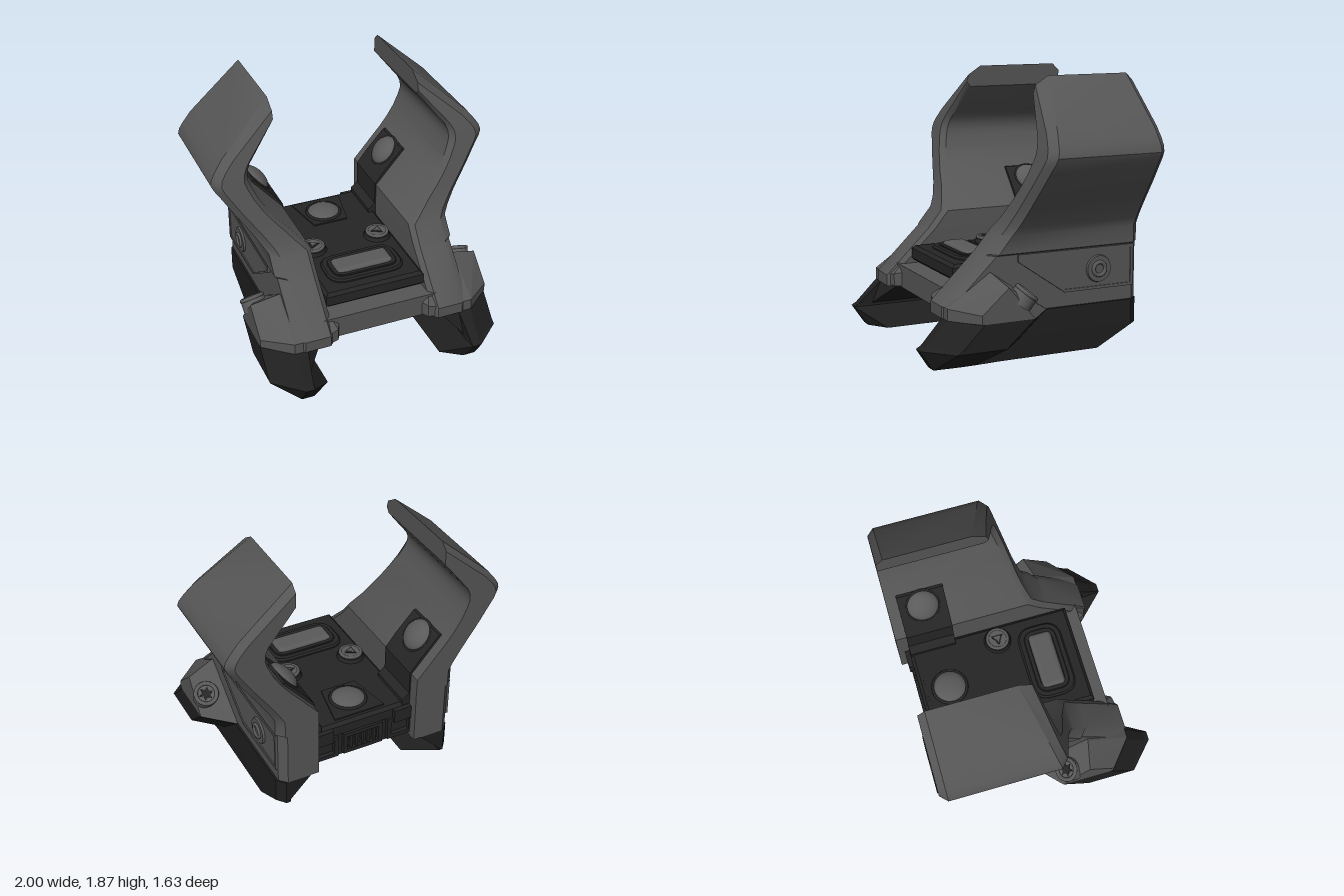
import * as THREE from 'three';
import { toCreasedNormals } from 'three/addons/utils/BufferGeometryUtils.js';
import { RoundedBoxGeometry } from 'three/addons/geometries/RoundedBoxGeometry.js';
import { ConvexGeometry } from 'three/addons/geometries/ConvexGeometry.js';

const mat = (name, color) => new THREE.MeshStandardMaterial({ name, color });
const V = (x, y, z) => new THREE.Vector3(x, y, z);

// Joins rings of [x, y, z] (counterclockwise seen along the loft) and closes both ends
function loft(rings, crease = 0.7) {
  const n = rings[0].length, pos = rings.flat(2), idx = [];
  rings.slice(1).forEach((_, i) => {
    for (let j = 0; j < n; j++) {
      const a = i * n + j, b = i * n + (j + 1) % n;
      idx.push(a, b, b + n, a, b + n, a + n);
    }
  });
  [0, rings.length - 1].forEach((r, end) => {
    const c = pos.length / 3;
    for (let k = 0; k < 3; k++) pos.push(rings[r].reduce((s, p) => s + p[k], 0) / n);
    for (let j = 0; j < n; j++) {
      const a = r * n + j, b = r * n + (j + 1) % n;
      end ? idx.push(a, b, c) : idx.push(b, a, c);
    }
  });
  const g = new THREE.BufferGeometry();
  g.setAttribute('position', new THREE.Float32BufferAttribute(pos, 3));
  g.setIndex(idx);
  return toCreasedNormals(g, crease);
}

// Mirrors a geometry across x = 0, keeping faces outward
function mirrored(geo) {
  const g = geo.index ? geo.toNonIndexed() : geo.clone();
  for (const key of ['position', 'normal']) {
    const at = g.attributes[key];
    for (let i = 0; i < at.count; i += 3) {
      const v = [0, 2, 1].map(k => V().fromBufferAttribute(at, i + k));
      v.forEach((p, k) => at.setXYZ(i + k, -p.x, p.y, p.z));
    }
  }
  return g;
}

const poly = pts => new THREE.Shape(pts.map(p => new THREE.Vector2(...p)));
const extrude = (shape, depth, bevel = 0) => new THREE.ExtrudeGeometry(shape, {
  depth, bevelEnabled: bevel > 0, bevelSize: bevel, bevelThickness: bevel, bevelSegments: 1, curveSegments: 8 });

// Rounded rectangle lying flat, its base at height y
function pad(w, d, r, h, y, z, bevel, hole) {
  const path = (s, a, b, q) => s.moveTo(-a + q, -b).lineTo(a - q, -b).quadraticCurveTo(a, -b, a, -b + q)
    .lineTo(a, b - q).quadraticCurveTo(a, b, a - q, b).lineTo(-a + q, b).quadraticCurveTo(-a, b, -a, b - q)
    .lineTo(-a, -b + q).quadraticCurveTo(-a, -b, -a + q, -b);
  const s = path(new THREE.Shape(), w / 2, d / 2, r);
  if (hole) s.holes.push(path(new THREE.Path(), w / 2 - hole, d / 2 - hole, r - hole / 2));
  return extrude(s, h, bevel).rotateX(-Math.PI / 2).translate(0, y, z);
}

// Turns a y-up geometry toward a direction and moves it into place
const aim = (g, dir, at) => g.applyQuaternion(new THREE.Quaternion()
  .setFromUnitVectors(V(0, 1, 0), dir.clone().normalize())).translate(at.x, at.y, at.z);

const dome = (r, h) => new THREE.SphereGeometry(r, 28, 10, 0, Math.PI * 2, 0, Math.PI / 2).scale(1, h / r, 1);
const ringGeo = (r, t) => new THREE.TorusGeometry(r, t, 8, 28).rotateX(Math.PI / 2);
const box = (w, h, d, x, y, z) => new THREE.BoxGeometry(w, h, d).translate(x, y, z);

// Front edge of the arms: z for a given height
const EDGE = [[0.32, 0.63], [0.4, 0.63], [0.78, 0.24], [0.88, 0.18], [1, 0.14], [1.45, 0.03], [1.82, -0.08], [1.87, -0.12]];
function frontZ(y) {
  for (let i = 1; i < EDGE.length; i++) {
    const [y0, z0] = EDGE[i - 1], [y1, z1] = EDGE[i];
    if (y <= y1) return z0 + (z1 - z0) * Math.max(0, (y - y0) / (y1 - y0));
  }
  return EDGE.at(-1)[1];
}

// Arm: [outer x, outer y, inner x, inner y] from foot to tip
const ARM = [
  [0.65, 0.32, 0.37, 0.32], [0.65, 0.4, 0.37, 0.4], [0.65, 0.71, 0.37, 0.71], [0.666, 0.72, 0.37, 0.72],
  [0.666, 0.84, 0.372, 0.84], [0.7, 0.9, 0.45, 0.93], [0.76, 1, 0.51, 1], [0.82, 1.09, 0.58, 1.08],
  [0.88, 1.18, 0.64, 1.16], [0.935, 1.27, 0.69, 1.24], [0.985, 1.345, 0.73, 1.33], [1, 1.38, 0.745, 1.38],
  [0.99, 1.42, 0.742, 1.43], [0.96, 1.465, 0.72, 1.48], [0.9, 1.54, 0.68, 1.53], [0.53, 1.87, 0.53, 1.72],
];
function armGeometry() {
  return loft(ARM.map(([xo, yo, xi, yi]) => {
    const len = Math.hypot(xi - xo, yi - yo);
    const at = d => [xo + (xi - xo) * d / len, yo + (yi - yo) * d / len];
    const [ax, ay] = at(0.06), [bx, by] = at(len - 0.035), [cx, cy] = at(0.05);
    return [[xo, yo, frontZ(yo) - 0.05], [xo, yo, -0.77], [cx, cy, -0.82], [xi, yi, -0.82],
      [xi, yi, frontZ(yi) - 0.04], [bx, by, frontZ(by)], [ax, ay, frontZ(ay)]];
  }), 0.6);
}

// Foot: clamp jaw with a notched inside, widened toward the front
function footGeometry() {
  const ring = (y, xi, xo, back, kink, front, side) => [
    [xo, y, front - 0.18], [xo, y, kink + 0.18], [side, y, kink], [side, y, back + 0.06], [side - 0.05, y, back],
    [xi, y, back], [xi, y, front - 0.1], [Math.max(xi + 0.01, 0.57), y, front], [0.66, y, front]];
  return loft([ring(0, 0.43, 0.67, -0.56, 0.25, 0.72, 0.66), ring(0.14, 0.585, 0.855, -0.82, 0.1, 0.815, 0.665),
    ring(0.16, 0.585, 0.855, -0.82, 0.08, 0.78, 0.665), ring(0.32, 0.43, 0.855, -0.82, -0.1, 0.62, 0.665)], 0.2);
}

export function createModel() {
  const root = new THREE.Group();
  root.name = 'cradleMount';
  const grey = mat('grey shell', 0x555555), dark = mat('dark panel', 0x252525),
    black = mat('black foot', 0x1f1f1f), button = mat('button grey', 0x5a5a5a);
  const add = (name, g, m) => {
    const mesh = new THREE.Mesh(g, m);
    mesh.name = name;
    root.add(mesh);
  };
  const pair = (name, g, m) => {
    add(name + 'Left', g, m);
    add(name + 'Right', mirrored(g), m);
  };

  // Arms and feet
  pair('arm', armGeometry(), grey);
  pair('foot', footGeometry(), black);

  // Front shoulders with a slanted screw seat
  pair('shoulder', new ConvexGeometry([
    V(0.6, 0.61, 0.31), V(0.665, 0.61, 0.31), V(0.6, 0.32, -0.1), V(0.665, 0.32, -0.1), V(0.6, 0.32, 0.62),
    V(0.665, 0.32, 0.62), V(0.6, 0.4, 0.62), V(0.665, 0.4, 0.62), V(0.855, 0.32, 0.08), V(0.855, 0.545, 0.27),
    V(0.855, 0.32, 0.46), V(0.855, 0.38, 0.46)]), grey);
  const tilt = V(0.15, 0.78, -0.6), seat = V(0.785, 0.45, 0.14);
  const screwPart = (g, up) => aim(g.translate(0, up, 0), tilt, seat);
  pair('screw', screwPart(new THREE.CylinderGeometry(0.085, 0.09, 0.09, 24), 0), button);
  pair('screwRim', screwPart(ringGeo(0.075, 0.015), 0.045), button);
  const star = poly(Array.from({ length: 12 }, (_, i) => {
    const r = i % 2 ? 0.028 : 0.052, a = i * Math.PI / 6;
    return [r * Math.cos(a), r * Math.sin(a)];
  }));
  pair('screwSocket', screwPart(extrude(star, 0.006).rotateX(-Math.PI / 2), 0.045), dark);

  // Side panels with a round bolt
  const outline = [[0.11, 0.71], [0.11, 0.66], [-0.24, 0.42], [-0.77, 0.42], [-0.77, 0.71]];
  const onSide = (g, x) => g.rotateY(-Math.PI / 2).translate(x, 0, 0);
  pair('sidePanel', onSide(extrude(poly(outline), 0.03), 0.66), grey);
  const frame = poly(outline);
  frame.holes.push(poly([[0.08, 0.69], [-0.75, 0.69], [-0.75, 0.44], [-0.23, 0.44], [0.08, 0.655]]));
  pair('sidePanelFrame', onSide(extrude(frame, 0.02), 0.668), grey);
  const bolt = g => aim(g, V(1, 0, 0), V(0.66, 0.56, -0.5));
  pair('sideBolt', bolt(new THREE.CylinderGeometry(0.09, 0.1, 0.03, 28)), grey);
  pair('sideBoltRing', bolt(ringGeo(0.045, 0.014).translate(0, 0.016, 0)), button);

  // Base between the arms
  add('baseFront', box(0.84, 0.16, 0.65, 0, 0.4, 0.225), grey);
  add('baseRear', box(0.84, 0.2, 0.64, 0, 0.43, -0.41), dark);
  pair('frontCorner', new ConvexGeometry([
    V(0.31, 0.33, 0.54), V(0.34, 0.33, 0.6), V(0.43, 0.33, 0.62), V(0.43, 0.33, 0.5), V(0.31, 0.43, 0.54),
    V(0.34, 0.42, 0.6), V(0.43, 0.4, 0.62), V(0.37, 0.48, 0.53), V(0.43, 0.48, 0.5)]), grey);

  // Dark deck with chamfered rim
  add('deck', extrude(poly([[-0.345, -0.43], [0.345, -0.43], [0.345, 0.72], [-0.345, 0.72]]), 0.07, 0.022)
    .rotateX(-Math.PI / 2).translate(0, 0.52, 0), dark);
  pair('rearTab', box(0.13, 0.1, 0.06, 0.3, 0.54, -0.745), dark);

  // Rear wall frames and vent slats
  for (const [x, w] of [[-0.29, 0.2], [0, 0.3], [0.29, 0.2]]) {
    const f = poly([[-w / 2, 0.35], [w / 2, 0.35], [w / 2, 0.52], [-w / 2, 0.52]]);
    f.holes.push(poly([[-w / 2 + 0.03, 0.38], [-w / 2 + 0.03, 0.49], [w / 2 - 0.03, 0.49], [w / 2 - 0.03, 0.38]]));
    add('rearFrame', extrude(f, 0.03).translate(x, 0, -0.76), dark);
  }
  for (let i = -2; i <= 2; i++) add('ventSlat', box(0.02, 0.12, 0.025, i * 0.045, 0.435, -0.74), dark);

  // Wide front button in its bezel
  add('frontBezel', pad(0.54, 0.3, 0.11, 0.012, 0.61, 0.2, 0.012), dark);
  add('frontButtonRim', pad(0.47, 0.23, 0.08, 0.02, 0.62, 0.2, 0.005, 0.025), dark);
  add('frontButton', new RoundedBoxGeometry(0.42, 0.07, 0.17, 4, 0.03).translate(0, 0.63, 0.2), button);

  // Round buttons with arrow marks pointing inward
  const round = g => g.translate(0.25, 0, -0.1);
  pair('roundBase', round(new THREE.CylinderGeometry(0.09, 0.1, 0.03, 28).translate(0, 0.625, 0)), dark);
  pair('roundButton', round(new THREE.CylinderGeometry(0.072, 0.078, 0.03, 28).translate(0, 0.64, 0)), button);
  pair('roundRim', round(ringGeo(0.074, 0.012).translate(0, 0.648, 0)), button);
  const arrow = r => poly([0, 1, 2].map(i => {
    const a = Math.PI + i * Math.PI * 2 / 3;
    return [r * Math.cos(a), r * Math.sin(a)];
  }));
  pair('arrowMark', round(extrude(arrow(0.052), 0.005).rotateX(-Math.PI / 2).translate(0, 0.654, 0)), dark);
  pair('arrowCentre', round(extrude(arrow(0.03), 0.008).rotateX(-Math.PI / 2).translate(0, 0.654, 0)), button);

  // Rear dome on a tapered plate
  add('rearPlate', extrude(poly([[-0.13, 0.38], [0.13, 0.38], [0.19, 0.7], [-0.19, 0.7]]), 0.012)
    .rotateX(-Math.PI / 2).translate(0, 0.61, 0), dark);
  add('rearDomeRim', ringGeo(0.122, 0.012).translate(0, 0.622, -0.53), dark);
  add('rearDome', dome(0.122, 0.05).translate(0, 0.615, -0.53), button);

  // Dark inner panels climbing the arms, each with a dome
  pair('innerPanel', extrude(poly([[0.31, 0.5], [0.45, 0.5], [0.46, 0.82], [0.63, 1.1], [0.575, 1.1],
    [0.44, 0.95], [0.362, 0.85], [0.362, 0.68], [0.31, 0.64]]), 0.34).translate(0, 0, -0.74), dark);
  const slope = V(-0.74, 0.67, 0), domeAt = V(0.51, 1.015, -0.57);
  pair('innerDomeRim', aim(ringGeo(0.115, 0.012), slope, domeAt), dark);
  pair('innerDome', aim(dome(0.115, 0.06), slope, domeAt), button);

  return root;
}
